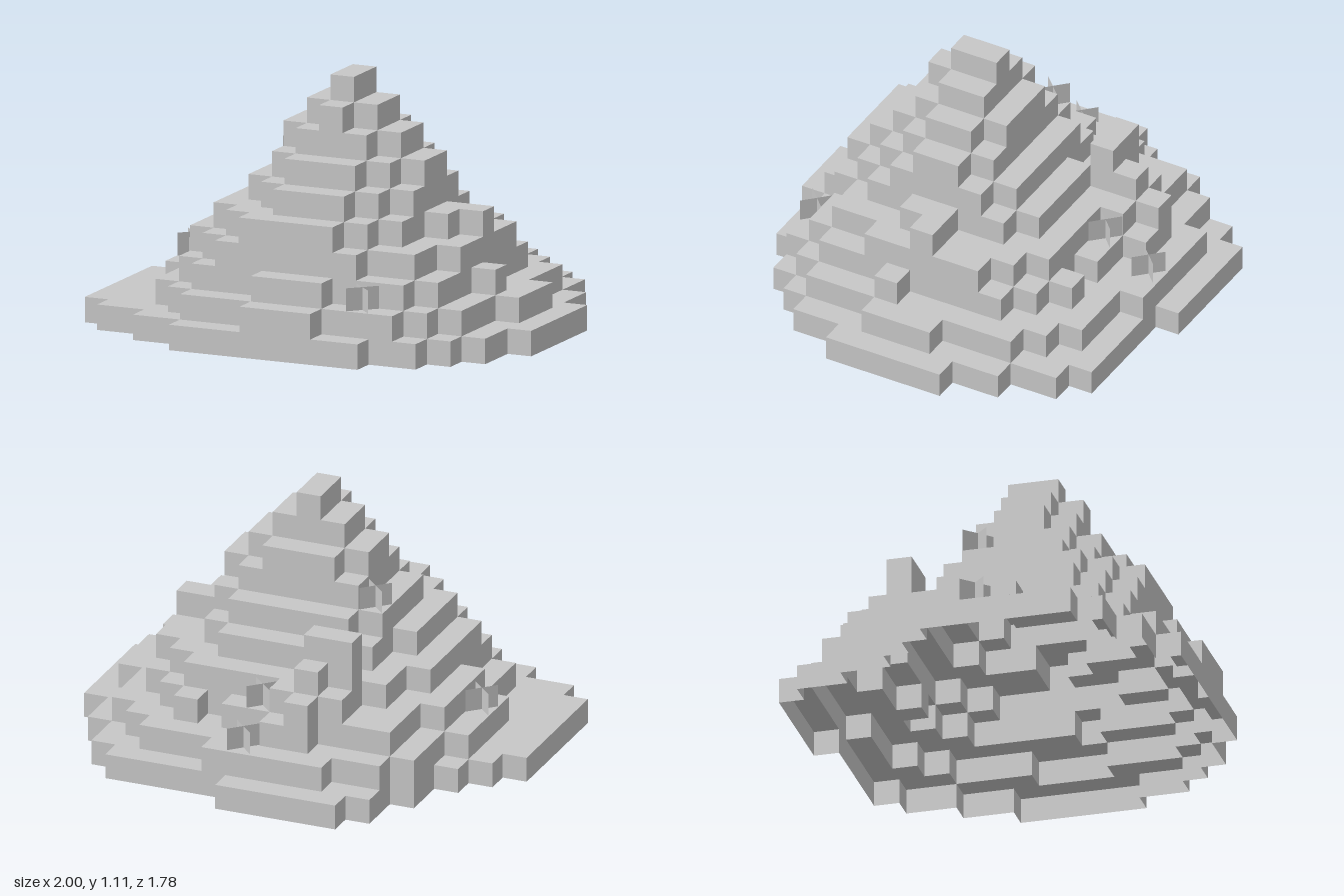
import * as THREE from 'three';

const U = 1 / 9; // edge of one block

// Ground terrace: [left, right] ends of each row of blocks, back to front
const baseRows = [
  [-4, 1], [-5, 6], [-5, 7], [-6, 7], [-6, 8], [-7, 8], [-8, 9], [-9, 9],
  [-9, 9], [-9, 9], [-9, 9], [-9, 8], [-9, 8], [-8, 7], [-6, 6], [-4, 4],
];

// Upper terraces: x0, x1, z0, z1, then corner cuts back -x, back +x, front +x, front -x
const terraces = [
  [-7, 8, -7, 8, 5, 6, 6, 6],
  [-6, 7, -6, 7, 4, 7, 5, 5],
  [-5, 6, -4, 6, 3, 2, 3, 2],
  [-4, 4, -3, 6, 3, 1, 2, 2],
  [-3, 4, -2, 5, 1, 1, 2, 2],
  [-2, 4, -1, 4, 0, 1, 2, 1],
  [-2, 3, -1, 3, 1, 1, 1, 1],
  [-1, 2, 0, 3, 0, 0, 1, 1],
  [0, 1, 0, 2, 0, 0, 0, 0],
];

// Outcrops and notches, first match wins: x0, x1, z0, z1, height
const outcrops = [
  [-3, -2, -7, -6, 2], [-2, -1, -6, -5, 4], [-2, -1, -5, -4, 5], [-3, 0, -5, -4, 4],
  [-3, -1, -4, -3, 6], [2, 3, -5, -4, 2], [4, 6, 0, 1, 5], [4, 5, 1, 2, 5],
];

const inside = (x, z, [x0, x1, z0, z1]) => x >= x0 && x < x1 && z >= z0 && z < z1;

// A terrace is a rectangle whose corners are stepped along a concave curve
function onTerrace(x, z, t) {
  if (!inside(x, z, t)) return false;
  const left = x - t[0], right = t[1] - 1 - x, back = z - t[2], front = t[3] - 1 - z;
  const corners = [[left, back], [right, back], [right, front], [left, front]];
  return corners.every(([dx, dz], i) => Math.sqrt(dx) + Math.sqrt(dz) >= Math.sqrt(t[4 + i]));
}

// Height in blocks of the column whose low corner is (x, z)
function heightAt(x, z) {
  const outcrop = outcrops.find((o) => inside(x, z, o));
  if (outcrop) return outcrop[4];
  for (let k = terraces.length - 1; k >= 0; k--) {
    if (onTerrace(x, z, terraces[k])) return k + 2;
  }
  const row = baseRows[z + 8];
  return row && x >= row[0] && x < row[1] ? 1 : 0;
}

// Open-bottomed stepped shell: one top per column, walls down to lower neighbours
function mountainGeometry() {
  const pos = [];
  const quad = (a, b, c, d) => {
    for (const p of [a, b, c, a, c, d]) pos.push(p[0] * U, p[1] * U, p[2] * U);
  };
  for (let x = -9; x < 9; x++) {
    for (let z = -8; z < 8; z++) {
      const h = heightAt(x, z);
      if (!h) continue;
      const X = x + 1, Z = z + 1;
      quad([x, h, Z], [X, h, Z], [X, h, z], [x, h, z]);
      const sides = [
        [0, 1, x, Z, X, Z], [1, 0, X, Z, X, z], [0, -1, X, z, x, z], [-1, 0, x, z, x, Z],
      ];
      for (const [dx, dz, px, pz, qx, qz] of sides) {
        for (let y = heightAt(x + dx, z + dz); y < h; y++) {
          quad([px, y, pz], [qx, y, qz], [qx, y + 1, qz], [px, y + 1, pz]);
        }
      }
    }
  }
  const g = new THREE.BufferGeometry();
  g.setAttribute('position', new THREE.Float32BufferAttribute(pos, 3));
  g.computeVertexNormals();
  return g;
}

export function createModel() {
  const stone = new THREE.MeshStandardMaterial({ color: 0xc7c7c7, side: THREE.DoubleSide });
  stone.name = 'stone grey';
  const model = new THREE.Group();
  model.name = 'blockMountain';

  const mountain = new THREE.Mesh(mountainGeometry(), stone);
  mountain.name = 'mountain';
  model.add(mountain);

  // Small plants on the terraces, each made of two crossed upright planes
  const leaf = new THREE.PlaneGeometry(0.15, 0.1);
  const spots = [[3.5, 6.5], [-6.5, 0.5], [0.5, -6.4], [0.5, -4.5], [-2.5, -0.5]];
  for (const [x, z] of spots) {
    const plant = new THREE.Group();
    plant.name = 'plant';
    for (const angle of [Math.PI / 4, -Math.PI / 4]) {
      const blade = new THREE.Mesh(leaf, stone);
      blade.name = 'plantBlade';
      blade.rotation.y = angle;
      plant.add(blade);
    }
    const ground = heightAt(Math.floor(x), Math.floor(z)) * U;
    plant.position.set(x * U, ground + 0.05, z * U);
    model.add(plant);
  }
  return model;
}
